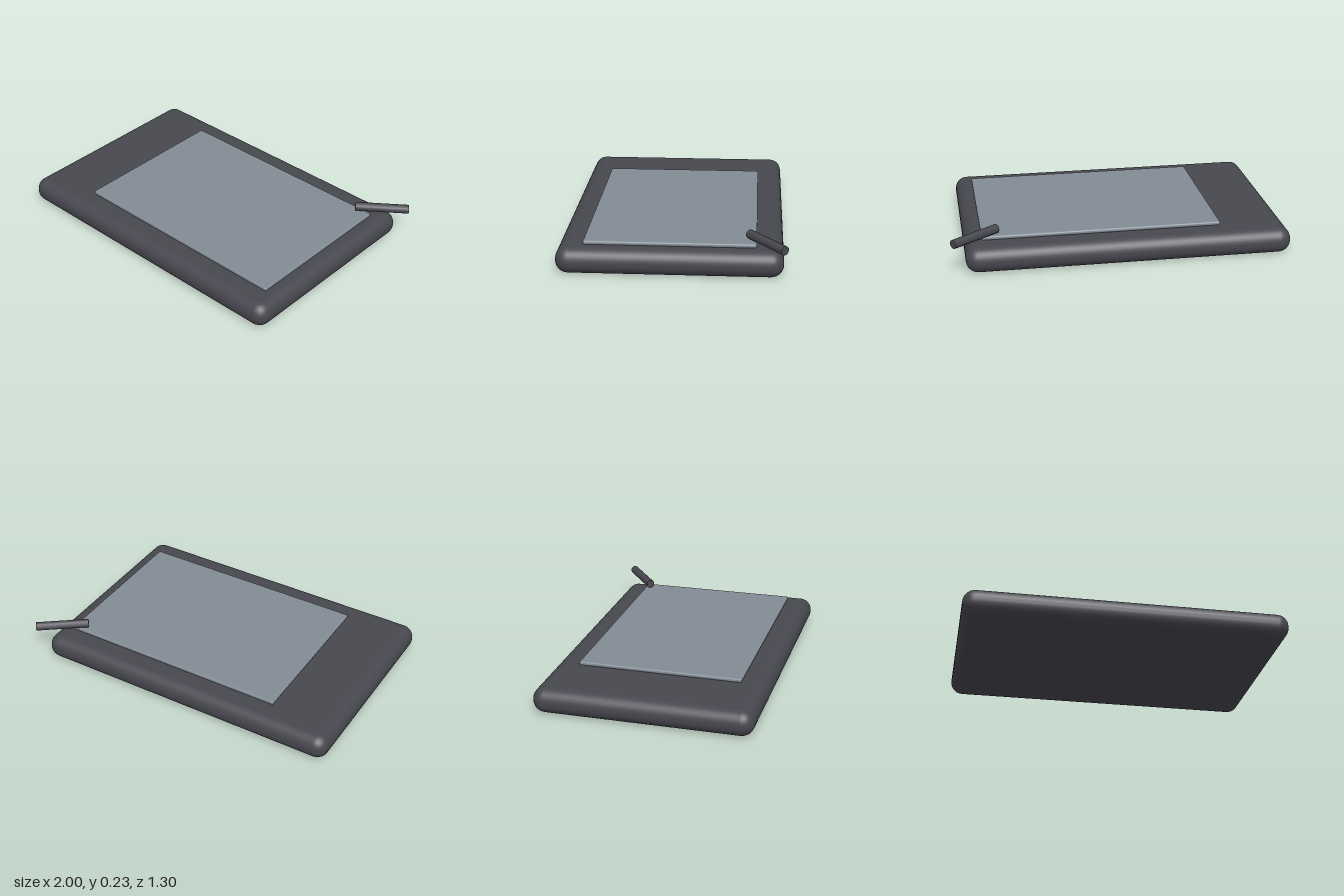
import * as THREE from 'three';
import { RoundedBoxGeometry } from 'three/addons/geometries/RoundedBoxGeometry.js';

const material = (name, color) => {
  const m = new THREE.MeshStandardMaterial({ color });
  m.name = name;
  return m;
};

export function createModel() {
  const model = new THREE.Group();
  model.name = 'penTablet';
  const charcoal = material('charcoal', 0x47474f);
  const slate = material('slateGrey', 0x828b95);

  const add = (name, geometry, mat, x, y, z) => {
    const mesh = new THREE.Mesh(geometry, mat);
    mesh.name = name;
    mesh.position.set(x, y, z);
    model.add(mesh);
    return mesh;
  };

  // Thick slab with soft rounded edges
  add('body', new RoundedBoxGeometry(1.915, 0.153, 1.28, 4, 0.073), charcoal, -0.0425, 0.0765, 0.01);

  // Drawing surface, set toward the model's left
  add('drawingSurface', new RoundedBoxGeometry(1.41, 0.024, 0.975, 3, 0.01), slate, 0.11, 0.164, 0.01);

  // Stylus lying diagonally over the back corner
  const stylus = add('stylus', new THREE.CylinderGeometry(0.0265, 0.0265, 0.322, 12), charcoal, 0.855, 0.207, -0.5325);
  stylus.quaternion.setFromUnitVectors(
    new THREE.Vector3(0, 1, 0),
    new THREE.Vector3(0.258, 0, -0.193).normalize()
  );

  return model;
}
